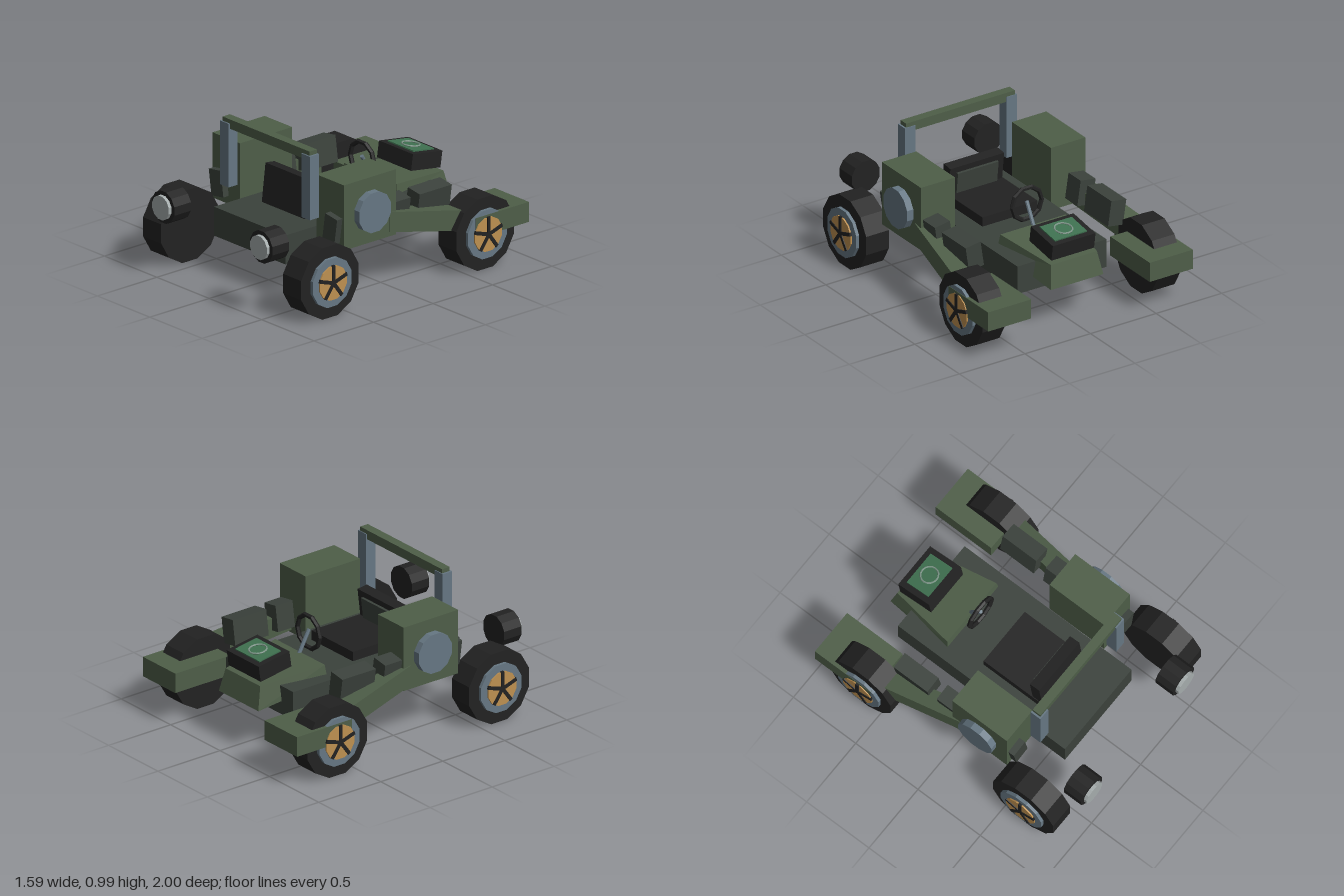
import * as THREE from 'three';

const mat = (name, color) => {
  const m = new THREE.MeshStandardMaterial({ color });
  m.name = name;
  m.flatShading = true;
  return m;
};

export function createModel() {
  const root = new THREE.Group();
  root.name = 'buggy';
  const green = mat('olive green', 0x4e5e48);
  const dark = mat('dark grey green', 0x3b423c);
  const black = mat('black', 0x222222);
  const steel = mat('blue grey steel', 0x667783);
  const tan = mat('bronze', 0xbe9050);
  const glass = mat('lamp glass', 0xa6adad);
  const panelGreen = mat('panel green', 0x3f7150);
  const ringGrey = mat('ring grey', 0x7c9487);

  const add = (parent, name, geo, material, x = 0, y = 0, z = 0) => {
    const m = new THREE.Mesh(geo, material);
    m.name = name;
    m.position.set(x, y, z);
    parent.add(m);
    return m;
  };
  // Box given by its limits on each axis
  const box = (parent, name, material, [x0, x1], [y0, y1], [z0, z1]) =>
    add(parent, name, new THREE.BoxGeometry(x1 - x0, y1 - y0, z1 - z0), material,
      (x0 + x1) / 2, (y0 + y1) / 2, (z0 + z1) / 2);
  // Box whose corners are moved by a rule; receives -1 or 1 per axis
  const warpedBox = (rule) => {
    const g = new THREE.BoxGeometry(2, 2, 2);
    const p = g.attributes.position;
    for (let i = 0; i < p.count; i++) p.setXYZ(i, ...rule(p.getX(i), p.getY(i), p.getZ(i)));
    g.computeVertexNormals();
    return g;
  };
  // Twelve-sided drum lying along x or z
  const drum = (r, length, axis) => {
    const g = new THREE.CylinderGeometry(r, r, length, 12);
    g.rotateY(Math.PI / 12);
    return axis === 'x' ? g.rotateZ(-Math.PI / 2) : g.rotateX(Math.PI / 2);
  };

  // Body
  box(root, 'chassis', dark, [-0.34, 0.34], [0.25, 0.445], [-0.68, 0.66]);
  add(root, 'hood', warpedBox((x, y, z) => {
    const top = y > 0, near = z > 0;
    return [
      x * (near ? (top ? 0.25 : 0.265) : (top ? 0.175 : 0.2)),
      top ? (near ? 0.51 : 0.465) : (near ? 0.4 : 0.31),
      near ? (top ? -0.355 : -0.34) : (top ? -0.815 : -0.85),
    ];
  }), green);

  // Control box tilted on the hood
  const console_ = new THREE.Group();
  console_.name = 'controlBox';
  console_.position.set(0, 0.56, -0.685);
  console_.rotation.x = -0.15;
  root.add(console_);
  add(console_, 'controlCase', new THREE.BoxGeometry(0.325, 0.11, 0.25), black);
  add(console_, 'controlPanel', new THREE.BoxGeometry(0.245, 0.009, 0.175), panelGreen, 0, 0.059, 0);
  add(console_, 'panelRing', new THREE.TorusGeometry(0.058, 0.006, 6, 16).rotateX(Math.PI / 2), ringGrey, 0, 0.067, 0);

  // Steering wheel and column
  add(root, 'steeringWheel', new THREE.TorusGeometry(0.113, 0.016, 6, 10), black, 0, 0.63, -0.285);
  const column = add(root, 'steeringColumn',
    new THREE.CylinderGeometry(0.013, 0.013, 0.2, 8), steel, 0, 0.56, -0.33);
  column.rotation.x = 0.5;

  // Seat
  box(root, 'seatBase', black, [-0.21, 0.21], [0.44, 0.51], [-0.095, 0.34]);
  const back = new THREE.Group();
  back.name = 'seatBack';
  back.position.set(0, 0.57, 0.325);
  back.rotation.x = -0.12;
  root.add(back);
  add(back, 'backrest', new THREE.BoxGeometry(0.41, 0.26, 0.075), black);
  add(back, 'backrestPad', new THREE.BoxGeometry(0.31, 0.17, 0.02), dark, 0, 0.005, -0.045);

  // Roll bar
  box(root, 'rollBarTop', green, [-0.415, 0.415], [0.935, 0.998], [0.46, 0.522]);

  for (const s of [1, -1]) {
    const side = s > 0 ? 'left' : 'right';
    const span = (a, b) => (s > 0 ? [a, b] : [-b, -a]);

    box(root, side + 'RollBarPost', steel, span(0.347, 0.428), [0.54, 0.97], [0.455, 0.532]);

    // Side tank with round cover
    box(root, side + 'Tank', green, span(0.365, 0.627), [0.365, 0.805], [-0.018, 0.42]);
    add(root, side + 'TankCover', drum(0.138, 0.07, 'x'), steel, s * 0.64, 0.582, 0.2);

    // Storage boxes leaning outward
    for (const [z0, z1] of [[-0.5, -0.23], [-0.155, 0.465]]) {
      const b = box(root, side + 'StorageBox', dark, span(0.485, 0.6), [0.41, 0.585], [z0, z1]);
      b.rotation.z = -s * 0.15;
    }

    // Arm running back and outward to the fender
    add(root, side + 'Arm', warpedBox((x, y, z) => {
      const near = z > 0, outer = x * s > 0;
      return [
        s * (near ? (outer ? 0.632 : 0.5) : (outer ? 0.73 : 0.6)),
        near ? (y > 0 ? 0.53 : 0.395) : (y > 0 ? 0.42 : 0.28),
        near ? 0.04 : -0.57,
      ];
    }), green);
    box(root, side + 'RearFender', green, span(0.452, 0.78), [0.245, 0.38], [-1, -0.555]);

    // Wheels
    for (const [end, z] of [['Front', 0.65], ['Rear', -0.655]]) {
      const wheel = new THREE.Group();
      wheel.name = side + end + 'Wheel';
      wheel.position.set(0, 0.25, z);
      root.add(wheel);
      add(wheel, 'tire', drum(0.25, 0.173, 'x'), black, s * 0.668, 0, 0);
      add(wheel, 'rim', drum(0.168, 0.04, 'x'), steel, s * 0.757, 0, 0);
      add(wheel, 'hubPlate', drum(0.117, 0.04, 'x'), tan, s * 0.767, 0, 0);
      for (let i = 0; i < 5; i++) {
        const g = new THREE.BoxGeometry(0.03, 0.118, 0.024).translate(0, 0.059, 0);
        const spoke = add(wheel, 'spoke', g, black, s * 0.778, 0, 0);
        spoke.rotation.x = (i * Math.PI * 2) / 5;
      }
    }

    // Headlight
    add(root, side + 'HeadlightCase', drum(0.11, 0.14, 'z'), black, s * 0.468, 0.485, 0.905);
    add(root, side + 'HeadlightLens', drum(0.082, 0.04, 'z'), glass, s * 0.468, 0.485, 0.978);
  }
  return root;
}
